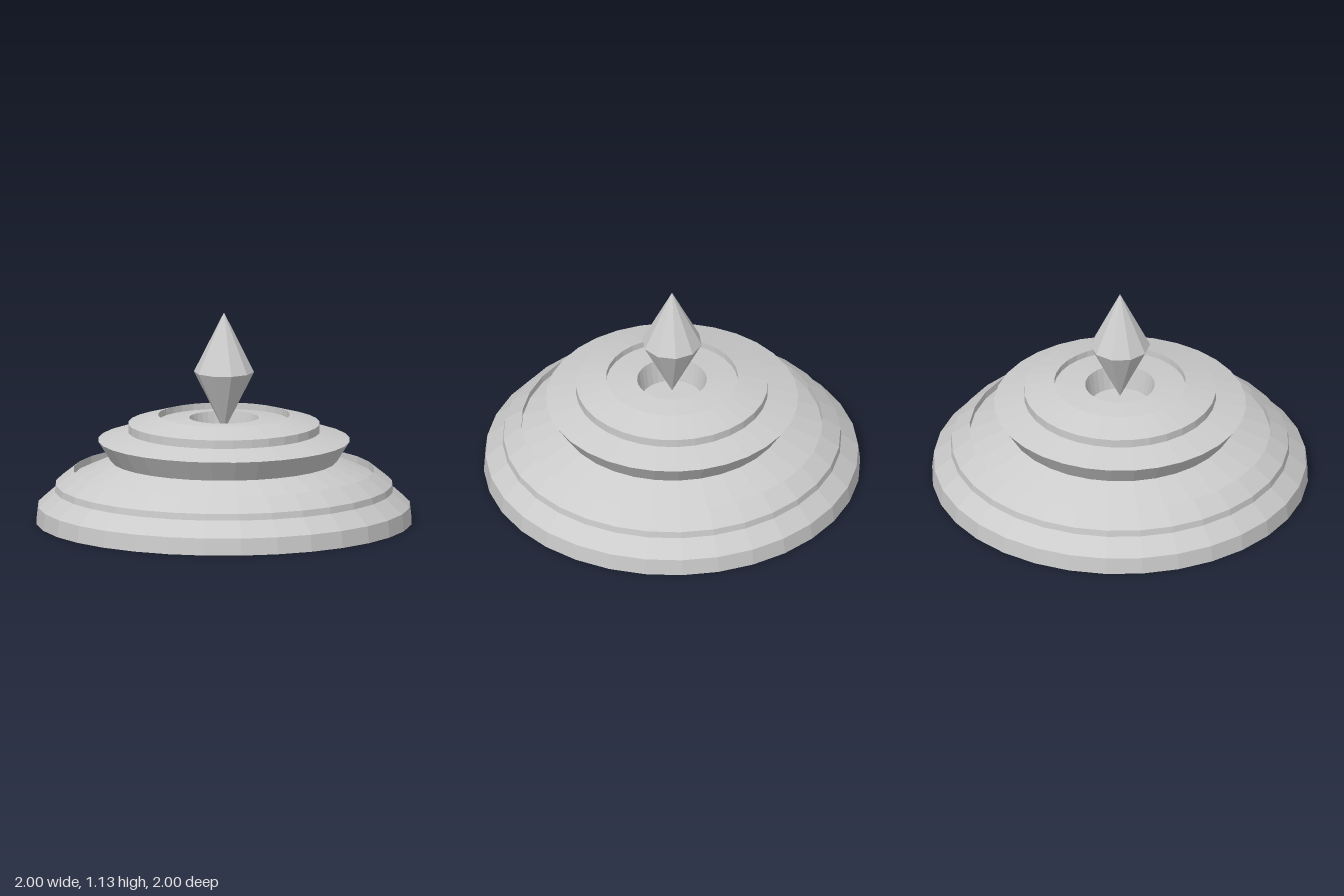
import * as THREE from 'three';

const material = new THREE.MeshStandardMaterial({ color: 0xcccccc, flatShading: true });

// Revolve a profile of [radius, height] pairs, listed from bottom to top
function revolve(name, profile, sides) {
  const points = profile.map(([r, y]) => new THREE.Vector2(r, y));
  const mesh = new THREE.Mesh(new THREE.LatheGeometry(points, sides), material);
  mesh.name = name;
  return mesh;
}

export function createModel() {
  const group = new THREE.Group();
  group.name = 'steppedPedestalWithCrystal';

  // Lower tiers: wide foot, ledge and rim, with a dished top inside the rim
  const foot = [[0, 0], [1, 0], [0.99, 0.09], [0.9, 0.17], [0.895, 0.205], [0.8, 0.28], [0.8, 0.24]];
  // Flared collar and the small upper step
  const collar = [[0.6, 0.33], [0.67, 0.44], [0.51, 0.485], [0.51, 0.53], [0.35, 0.575]];
  // Recessed top and central socket
  const socket = [[0.35, 0.54], [0.185, 0.56], [0.165, 0.43], [0, 0.43]];
  group.add(revolve('pedestal', [...foot, ...collar, ...socket], 32));

  // Ten-sided double-pointed crystal hovering over the socket
  group.add(revolve('crystal', [[0, 0.487], [0.16, 0.807], [0, 1.127]], 10));

  return group;
}
